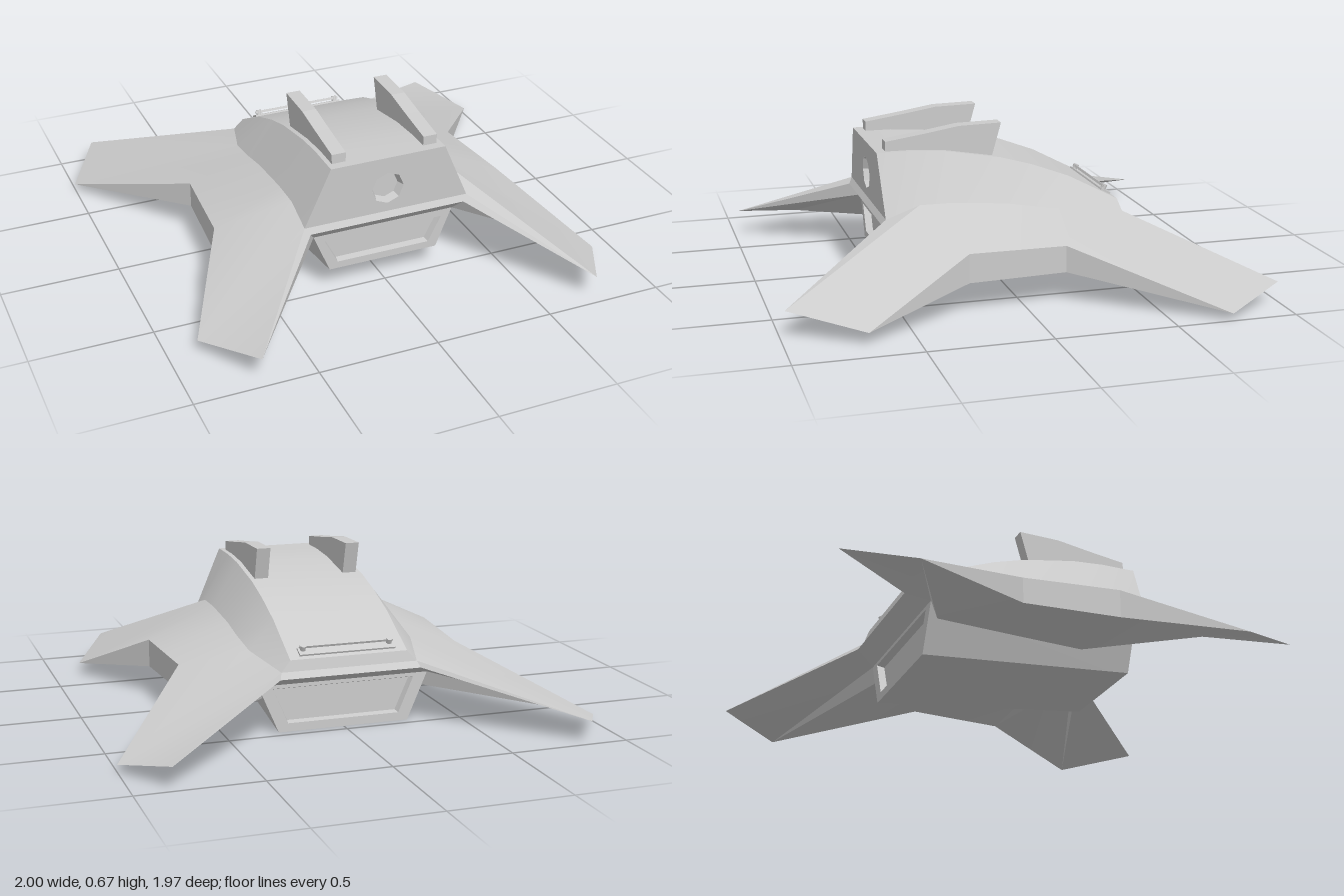
import * as THREE from 'three';
import { toCreasedNormals } from 'three/addons/utils/BufferGeometryUtils.js';

const grey = new THREE.MeshStandardMaterial({ color: 0xcccccc, side: THREE.DoubleSide });
const flip = (pts) => pts.map(([x, y, z]) => [-x, y, z]);

// Triangles of the ruled surface between two polylines of equal length
function strip(a, b) {
  const out = [];
  const tri = (...pts) => {
    const v = pts.map((p) => new THREE.Vector3(...p));
    if (new THREE.Triangle(...v).getArea() > 1e-7) out.push(...v);
  };
  for (let i = 0; i < a.length - 1; i++) {
    tri(a[i], b[i], a[i + 1]);
    tri(b[i], b[i + 1], a[i + 1]);
  }
  return out;
}

// Mesh from several strips, given as [a, b] pairs
function surface(name, pairs, crease = 0.4) {
  const pts = pairs.flatMap(([a, b]) => strip(a, b));
  const geo = toCreasedNormals(new THREE.BufferGeometry().setFromPoints(pts), crease);
  return named(name, geo);
}

function named(name, geo) {
  const mesh = new THREE.Mesh(geo, grey);
  mesh.name = name;
  return mesh;
}

const mirrorPairs = (pairs) => pairs.map(([a, b]) => [flip(b), flip(a)]);

// Trapezoid ring, counter-clockwise from the front
const ring = (z, yb, yt, xb, xt) => [[-xb, yb, z], [xb, yb, z], [xt, yt, z], [-xt, yt, z], [-xb, yb, z]];

export function createModel() {
  const group = new THREE.Group();

  // Hull stations, front to back: roof edge and shoulder on the left side
  const roof = [[.25, .58, .52], [.25, .58, .37], [.25, .57, .23], [.25, .53, 0],
    [.25, .49, -.14], [.25, .43, -.3], [.25, .315, -.52]];
  const shoulder = [[.36, .33, .51], [.36, .38, .37], [.36, .38, .23], [.36, .36, 0],
    [.36, .335, -.14], [.355, .31, -.3], [.29, .27, -.53]];

  // Wing outline, upper and lower
  const A = [.72, .11, .98], B = [.88, .05, .69], E = [1, .03, -.73], F = [.85, .09, -.99];
  const upper = [A, B, [.65, .25, .24], [.635, .245, .03], [.62, .24, -.17], E, F];
  const lower = [B, [.65, .13, .24], [.635, .13, .03], [.62, .13, -.17], E];

  // Lips below the shoulder and where the underside meets the belly pod
  const frontLip = [.34, .305, .525], rearLip = [.3, .245, -.55];
  const podFront = [.31, .26, .48], podRear = [.365, .2, -.46];
  const inner = [frontLip, podFront, [.285, .14, .24], [.3, .14, .03], [.315, .14, -.17],
    [.335, .14, -.42], podRear, rearLip];
  const underOuter = [A, ...lower, E, F];

  // Roof and the sloped cabin sides
  group.add(surface('roof', [[flip(roof), roof]]));
  const side = [[roof, shoulder]];
  group.add(surface('leftCabinSide', side), surface('rightCabinSide', mirrorPairs(side)));

  // Four-pointed wings, wedge-thin at the tips
  const wing = [
    [shoulder, upper],
    [underOuter, inner],
    [upper.slice(1, 6), lower],
    [[shoulder[0], A], [frontLip, A]],
    [[F, shoulder[6]], [F, rearLip]],
  ];
  group.add(surface('leftWing', wing), surface('rightWing', mirrorPairs(wing)));

  // Lips that close the hull at front and back
  const across = (pts, s) => pts.slice(1).map((p, i) => {
    const q = pts[i];
    return [[[-s * q[0], q[1], q[2]], [s * q[0], q[1], q[2]]],
      [[-s * p[0], p[1], p[2]], [s * p[0], p[1], p[2]]]];
  });
  group.add(surface('frontLip', across([shoulder[0], frontLip, podFront], 1), 0.1));
  group.add(surface('rearLip', across([roof[6], shoulder[6], rearLip, podRear], -1), 0.1));

  // Front face with an octagonal port
  const face = new THREE.Shape([[-.36, .33], [.36, .33], [.25, .58], [-.25, .58]]
    .map((p) => new THREE.Vector2(...p)));
  const octagon = [...Array(8).keys()].map((i) => new THREE.Vector2(
    .07 * Math.cos(i * Math.PI / 4), .44 + .07 * Math.sin(i * Math.PI / 4)));
  face.holes.push(new THREE.Path(octagon));
  const faceGeo = new THREE.ShapeGeometry(face);
  const pos = faceGeo.attributes.position;
  for (let i = 0; i < pos.count; i++) pos.setZ(i, .51 + (pos.getY(i) - .33) * .04);
  faceGeo.computeVertexNormals();
  group.add(named('frontFace', faceGeo));

  const wall = new THREE.CylinderGeometry(.07, .058, .035, 8, 1, true).toNonIndexed();
  wall.computeVertexNormals();
  wall.rotateX(Math.PI / 2).translate(0, .44, .497);
  const floor = new THREE.CircleGeometry(.058, 8).translate(0, .44, .48);
  group.add(named('portWall', wall), named('portFloor', floor));

  // Belly pod with recessed end panels
  const rings = [
    ring(.45, .125, .22, .2, .25), ring(.48, .12, .23, .205, .262),
    ring(.48, .09, .26, .24, .31), ring(-.46, 0, .21, .28, .37),
    ring(-.46, .035, .185, .24, .305), ring(-.43, .04, .175, .235, .295),
  ];
  const pod = rings.slice(1).map((r, i) => [rings[i], r]);
  const cap = (r) => [[r[3], r[2]], [r[0], r[1]]];
  const back = cap(rings[5]);
  group.add(surface('bellyPod', [cap(rings[0]), ...pod, [back[1], back[0]]], 0.1));

  // Twin roof fins
  const finShape = new THREE.Shape([[.48, .56], [.48, .62], [.31, .645], [.17, .668],
    [-.01, .672], [.035, .51]].map(([z, y]) => new THREE.Vector2(-z, y)));
  for (const [name, x] of [['leftFin', .2], ['rightFin', -.2]]) {
    const geo = new THREE.ExtrudeGeometry(finShape, { depth: .06, bevelEnabled: false });
    geo.translate(0, 0, -.03).rotateY(Math.PI / 2).translate(x, 0, 0);
    group.add(named(name, geo));
  }

  // Rear rail on two posts, tilted with the roof
  const rail = new THREE.Group();
  rail.name = 'rearRail';
  rail.position.set(0, .335, -.485);
  rail.rotation.x = -.46;
  rail.add(named('railPlate', new THREE.BoxGeometry(.41, .012, .045)));
  const bar = named('railBar', new THREE.BoxGeometry(.4, .01, .01));
  bar.position.set(0, .018, .012);
  rail.add(bar);
  for (const x of [-.185, .185]) {
    const post = named('railPost', new THREE.CylinderGeometry(.012, .012, .03, 8));
    post.position.set(x, .012, .008);
    rail.add(post);
  }
  group.add(rail);
  return group;
}
